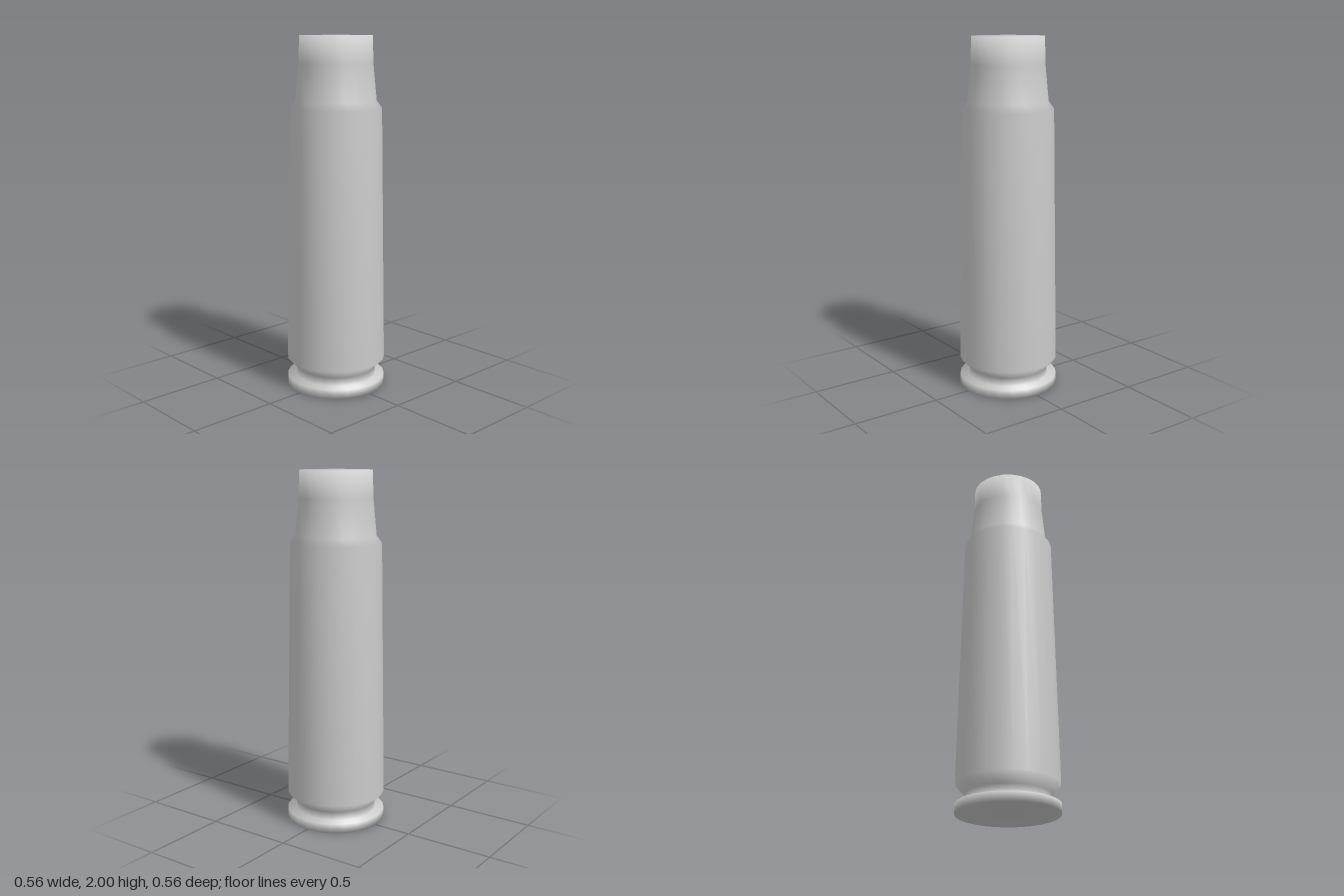
import * as THREE from 'three';

export function createModel() {
  const group = new THREE.Group();
  group.name = 'cartridgeCase';

  // Half profile (radius, height), from the base centre up to the mouth centre
  const profile = [
    [0, 0], [0.282, 0],                  // flat base
    [0.282, 0.053], [0.23, 0.055],       // rim flange
    [0.23, 0.105], [0.282, 0.16],        // extraction groove and bevel
    [0.256, 1.605], [0.226, 1.645],      // tapered body and shoulder
    [0.206, 1.85], [0.202, 2], [0, 2],   // neck and closed mouth
  ].map(([r, y]) => new THREE.Vector2(r, y));

  // One smooth 24-sided turned body
  const body = new THREE.Mesh(
    new THREE.LatheGeometry(profile, 24),
    new THREE.MeshStandardMaterial({ color: 0xcccccc })
  );
  body.name = 'caseBody';
  group.add(body);
  return group;
}
